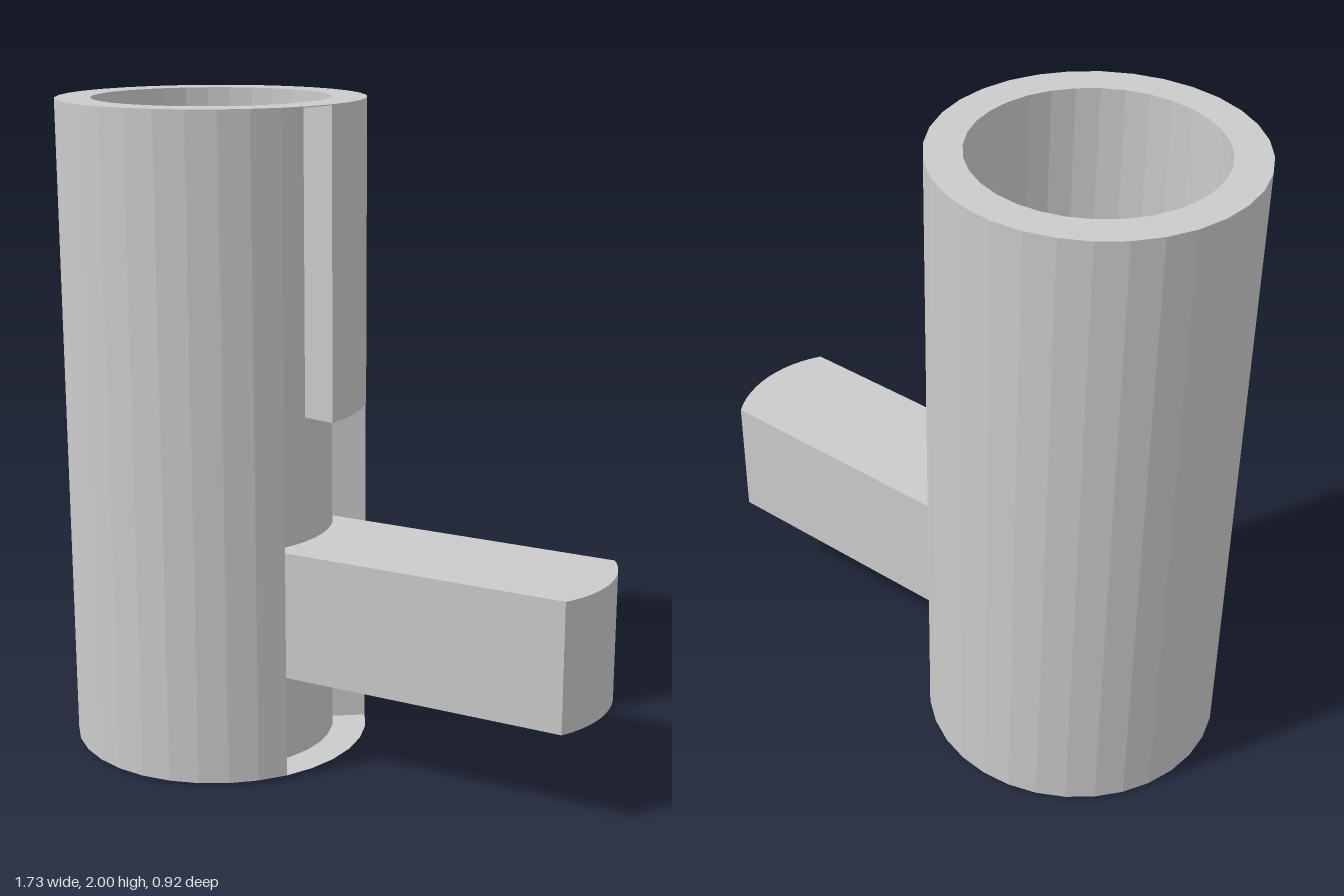
import * as THREE from 'three';

const OUTER = 0.46, INNER = 0.355, BASE = 0.013, TOP = 2, SLOT_TOP = 1.08;
const STEP = Math.PI / 16; // 32-sided tube
const material = new THREE.MeshStandardMaterial({
  color: 0xcccccc, flatShading: true, side: THREE.DoubleSide,
});

// Points on an arc in plan; the step index grows from +x towards +z
function arc(r, from, to) {
  const points = [];
  const dir = Math.sign(to - from);
  for (let i = 0; i <= Math.abs(to - from); i++) {
    const a = (from + dir * i) * STEP;
    points.push(new THREE.Vector2(r * Math.cos(a), -r * Math.sin(a)));
  }
  return points;
}

// Extrudes a plan outline upwards between two heights
function raise(points, y0, y1) {
  const geometry = new THREE.ExtrudeGeometry(new THREE.Shape(points), {
    depth: y1 - y0, bevelEnabled: false,
  });
  return geometry.rotateX(-Math.PI / 2).translate(0, y0, 0);
}

const wall = (from, to, y0, y1) =>
  raise([...arc(OUTER, from, to), ...arc(INNER, to, from)], y0, y1);

// Thin curved sheet at the bore radius, closing the slot's back
function sheet(from, to, y0, y1) {
  const geometry = new THREE.CylinderGeometry(INNER, INNER, y1 - y0, to - from, 1, true,
    Math.PI / 2 - to * STEP, (to - from) * STEP);
  return geometry.translate(0, (y0 + y1) / 2, 0);
}

export function createModel() {
  const model = new THREE.Group();
  const body = new THREE.Group();
  body.position.x = -0.41;
  model.add(body);

  const add = (name, geometry) => {
    const mesh = new THREE.Mesh(geometry, material);
    mesh.name = name;
    body.add(mesh);
    return mesh;
  };

  // Tube wall, leaving an L-shaped slot from -22.5 to 45 degrees
  add('tubeWall', wall(4, 30, BASE, TOP));
  add('slotOverhang', wall(-2, 2, SLOT_TOP, TOP));

  // Inner sleeve seen through the slot
  add('sleeveLower', sheet(-2, 2, BASE, SLOT_TOP));
  add('sleeveUpright', sheet(2, 4, BASE, TOP));

  // Thin lid over the top of the slot
  add('slotLid', wall(2, 4, TOP - 0.003, TOP));

  // Shallow conical ring under the tube
  const rim = [[INNER, 0], [OUTER, BASE], [INNER, BASE], [INNER, 0]]
    .map(([x, y]) => new THREE.Vector2(x, y));
  add('bottomRim', new THREE.LatheGeometry(rim, 32));

  // Handle bar with a concave root on the sleeve and a rounded tip
  const half = 0.197, tipRadius = 0.365, tipCentre = 0.925, root = INNER + 0.001;
  const outline = [];
  const ends = [[0, root, -1], [tipCentre, tipRadius, 1]];
  for (const [centre, r, dir] of ends) {
    const limit = Math.asin(half / r);
    for (let i = 0; i <= 12; i++) {
      const a = dir * limit * (i / 6 - 1);
      outline.push(new THREE.Vector2(centre + r * Math.cos(a), r * Math.sin(a)));
    }
  }
  const handle = add('handle', raise(outline, 0.3, 0.695));
  handle.rotation.y = -STEP;

  return model;
}
